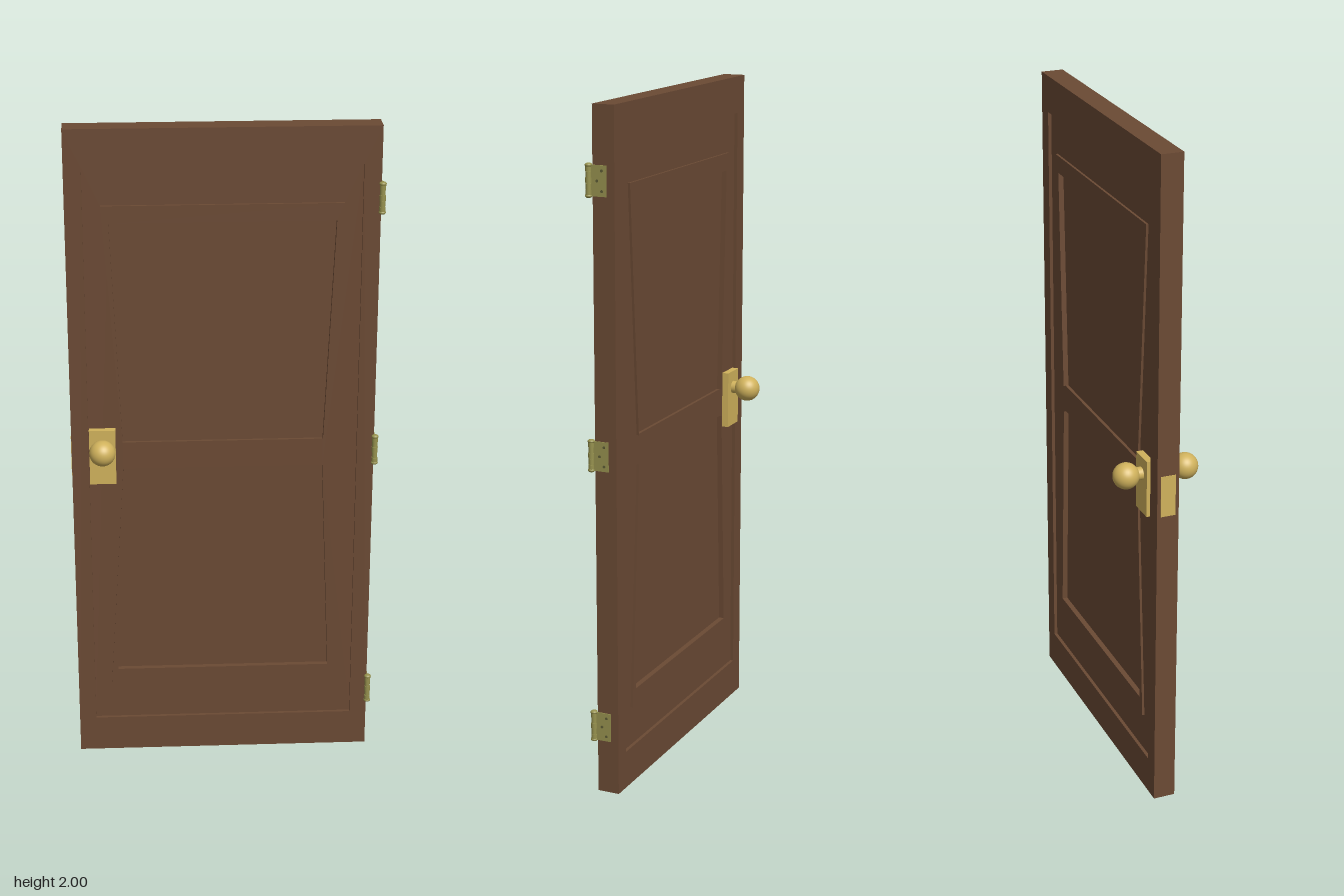
import * as THREE from 'three';

const CX = -0.0065; // centre line of the door leaf
const wood = new THREE.MeshStandardMaterial({ color: 0x6b4a34 });
const brass = new THREE.MeshStandardMaterial({ color: 0xd0b25c });
const oldBrass = new THREE.MeshStandardMaterial({ color: 0x96914e });
const steel = new THREE.MeshStandardMaterial({ color: 0x5c5a34 });

const toPoints = (pts) => pts.map(([x, y]) => new THREE.Vector2(x + CX, y));
const rect = (hw, y0, y1) => [[-hw, y0], [hw, y0], [hw, y1], [-hw, y1]];

function add(parent, name, geometry, material, x = 0, y = 0, z = 0) {
  const mesh = new THREE.Mesh(geometry, material);
  mesh.name = name;
  mesh.position.set(x, y, z);
  parent.add(mesh);
  return mesh;
}

// Outline with holes, extruded evenly to both faces of the door
function slab(outline, holes, halfDepth) {
  const shape = new THREE.Shape(toPoints(outline));
  holes.forEach((h) => shape.holes.push(new THREE.Path(toPoints(h))));
  return new THREE.ExtrudeGeometry(shape, { depth: 2 * halfDepth, bevelEnabled: false })
    .translate(0, 0, -halfDepth);
}

function makeLeaf() {
  const leaf = new THREE.Group();
  leaf.name = 'doorLeaf';
  const opening = rect(0.398, 0.113, 1.89);
  add(leaf, 'outerFrame', slab(rect(0.4485, 0, 2), [opening], 0.033), wood);

  // Tapered panels, mirrored about the middle rail
  const flip = (pts) => pts.map(([x, y]) => [x, 2.008 - y]);
  const panel = [[-0.297, 1.047], [0.297, 1.047], [0.325, 1.724], [-0.325, 1.724]];
  const moulding = [[-0.297, 1.047], [-0.325, 1.724], [0.325, 1.724], [0.297, 1.047],
    [0.346, 1.776], [-0.346, 1.776]];
  add(leaf, 'recessedField', slab(opening, [panel, flip(panel)], 0.023), wood);
  [['upper', (p) => p], ['lower', flip]].forEach(([side, map]) => {
    add(leaf, side + 'Panel', slab(map(panel), [], 0.014), wood);
    add(leaf, side + 'Moulding', slab(map(moulding), [], 0.03), wood);
  });
  return leaf;
}

// Back plate, neck and round knob, facing +z
function makeHandle(name) {
  const handle = new THREE.Group();
  handle.name = name;
  add(handle, 'backPlate', new THREE.BoxGeometry(0.078, 0.172, 0.025), brass, 0, 1.008, 0.0305);
  const neck = new THREE.CylinderGeometry(0.019, 0.019, 0.03, 32).rotateX(Math.PI / 2);
  add(handle, 'knobNeck', neck, brass, 0, 1.043, 0.054);
  add(handle, 'knob', new THREE.SphereGeometry(0.0385, 40, 28), brass, 0, 1.043, 0.0905);
  return handle;
}

// Hinge leaf on the door edge with screws, knuckles and pin
function makeHinge(name) {
  const hinge = new THREE.Group();
  hinge.name = name;
  const edge = 0.442;
  add(hinge, 'hingeLeaf', new THREE.BoxGeometry(0.004, 0.086, 0.05), oldBrass, edge + 0.001, 0, 0.016);
  for (const y of [-0.028, 0, 0.028]) {
    const screw = new THREE.CylinderGeometry(0.004, 0.004, 0.002, 16).rotateZ(Math.PI / 2);
    add(hinge, 'screw', screw, steel, edge + 0.0035, y, y === 0 ? 0.018 : 0.004);
  }
  for (let i = -2; i <= 2; i++) {
    const r = i % 2 ? 0.008 : 0.009;
    add(hinge, 'knuckle', new THREE.CylinderGeometry(r, r, 0.0165, 24), oldBrass, edge + 0.002, i * 0.017, 0.044);
  }
  for (const s of [-1, 1]) {
    const tip = add(hinge, 'pinTip', new THREE.SphereGeometry(0.0105, 24, 16), oldBrass, edge + 0.002, s * 0.042, 0.044);
    tip.scale.y = 0.6;
  }
  return hinge;
}

export function createModel() {
  const door = new THREE.Group();
  door.name = 'door';
  door.add(makeLeaf());

  // Handles on both faces
  const front = makeHandle('frontHandle');
  const back = makeHandle('backHandle');
  back.rotation.y = Math.PI;
  for (const h of [front, back]) {
    h.position.x = -0.3635;
    door.add(h);
  }

  // Latch plate on the opening edge
  add(door, 'latchPlate', new THREE.BoxGeometry(0.004, 0.125, 0.045), brass, -0.4545, 1.005, 0);
  const bolt = add(door, 'latchBolt', new THREE.BoxGeometry(0.003, 0.03, 0.018), brass, -0.4555, 1.043, 0);
  bolt.name = 'latchBolt';

  // Three hinges
  [['topHinge', 1.793], ['middleHinge', 1.018], ['bottomHinge', 0.203]].forEach(([name, y]) => {
    const hinge = makeHinge(name);
    hinge.position.y = y;
    door.add(hinge);
  });
  return door;
}
